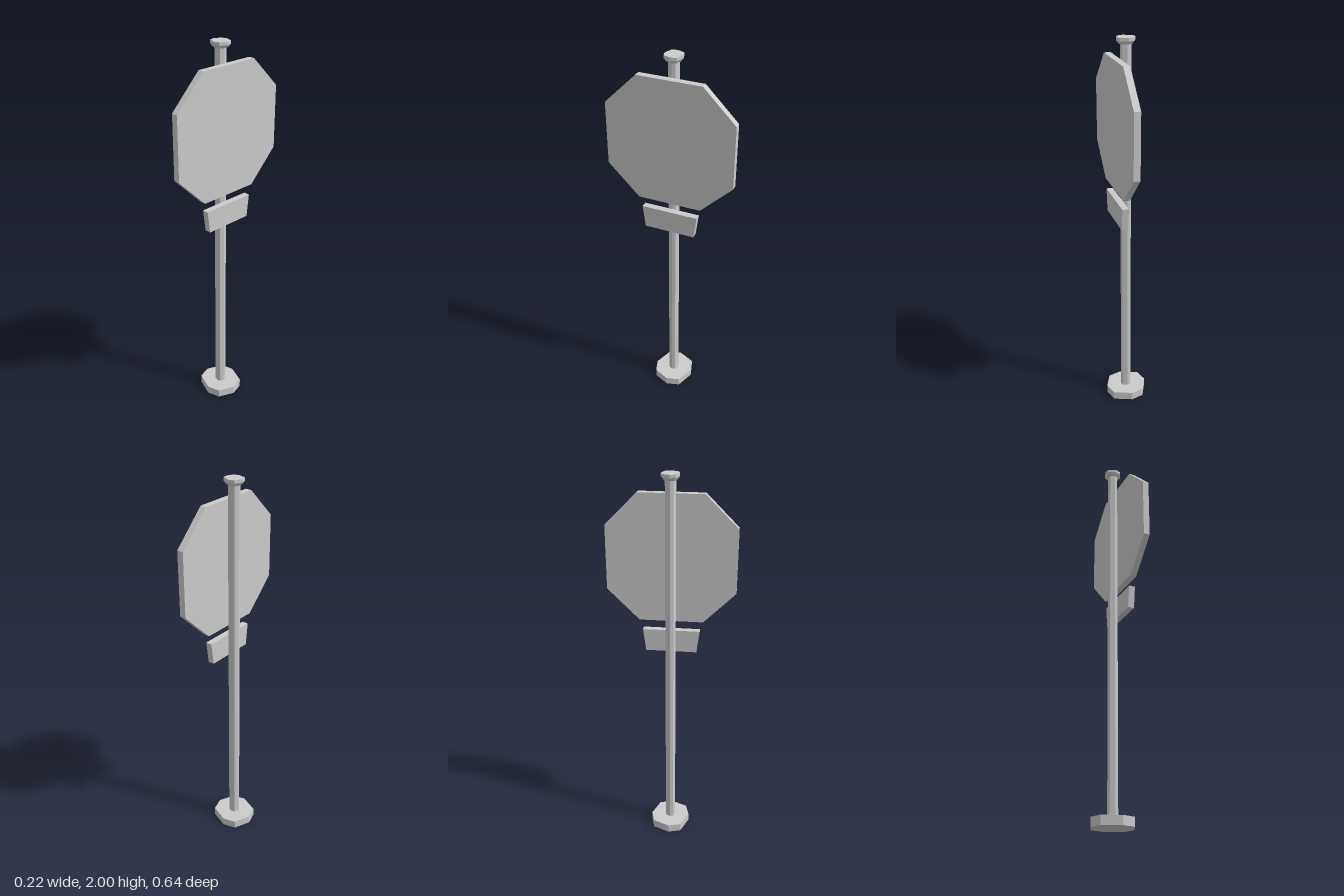
import * as THREE from 'three';

const material = new THREE.MeshStandardMaterial({ color: 0xcccccc, flatShading: true });

// Uneven eight-sided outline (x, z), clockwise from above, shared by base, pole and cap
const OUTLINE = [
  [-0.112, 0], [-0.075, -0.086], [-0.007, -0.106], [0.09, -0.07],
  [0.11, 0], [0.074, 0.083], [0.006, 0.104], [-0.092, 0.067],
];

// Closed solid through levels of [height, outline scale], lowest first
function loft(name, levels) {
  const n = OUTLINE.length;
  const positions = [];
  const point = ([y, s], i) => [OUTLINE[i % n][0] * s, y, OUTLINE[i % n][1] * s];
  const triangle = (...corners) => corners.forEach((c) => positions.push(...c));
  const bottom = levels[0];
  const top = levels[levels.length - 1];
  for (let i = 0; i < n; i++) {
    for (let k = 0; k < levels.length - 1; k++) {
      const b0 = point(levels[k], i), b1 = point(levels[k], i + 1);
      const t0 = point(levels[k + 1], i), t1 = point(levels[k + 1], i + 1);
      triangle(b1, b0, t0);
      triangle(b1, t0, t1);
    }
    triangle([0, bottom[0], 0], point(bottom, i), point(bottom, i + 1));
    triangle([0, top[0], 0], point(top, i + 1), point(top, i));
  }
  const geometry = new THREE.BufferGeometry();
  geometry.setAttribute('position', new THREE.Float32BufferAttribute(positions, 3));
  geometry.computeVertexNormals();
  const mesh = new THREE.Mesh(geometry, material);
  mesh.name = name;
  return mesh;
}

// Flat board facing +x; half is its right half as [width, height], bottom to top
function board(name, half) {
  const mirrored = half.map(([w, y]) => [-w, y]).reverse();
  const shape = new THREE.Shape([...half, ...mirrored].map(([w, y]) => new THREE.Vector2(w, y)));
  const geometry = new THREE.ExtrudeGeometry(shape, { depth: 0.033, bevelEnabled: false });
  geometry.rotateY(Math.PI / 2).translate(0.027, 0, 0);
  const mesh = new THREE.Mesh(geometry, material);
  mesh.name = name;
  return mesh;
}

export function createModel() {
  const model = new THREE.Group();
  model.name = 'roadSign';
  model.add(
    loft('base', [[0, 1], [0.045, 1]]),
    loft('pole', [[0.04, 0.25], [1.975, 0.25]]),
    loft('poleCap', [[1.97, 0.32], [1.985, 0.42], [2, 0.42]]),
    board('octagonSign', [[0.161, 1.255], [0.322, 1.416], [0.322, 1.739], [0.161, 1.9]]),
    board('lowerPlate', [[0.13, 1.085], [0.145, 1.202]]),
  );
  return model;
}
